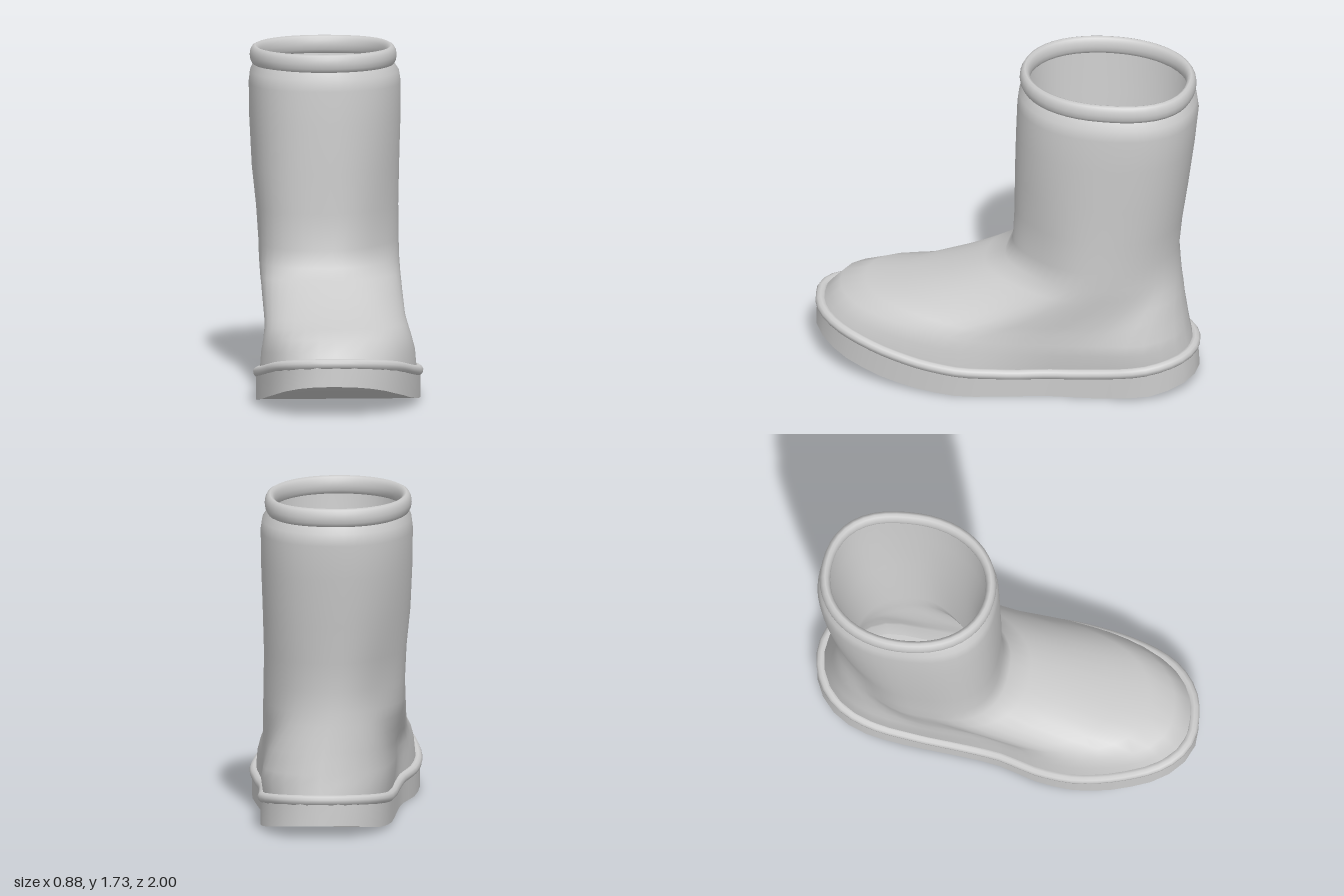
import * as THREE from 'three';
import { mergeVertices } from 'three/addons/utils/BufferGeometryUtils.js';

const N = 48; // points round every ring, starting at the toe and running towards +x
const { lerp, clamp } = THREE.MathUtils;
const V = (x, y, z) => new THREE.Vector3(x, y, z);
const angle = i => (i / N) * Math.PI * 2;

// Sole outline as [x, z]
const outlineCurve = new THREE.CatmullRomCurve3([
  [-0.05, 0.998], [0.1, 0.965], [0.25, 0.845], [0.37, 0.6], [0.437, 0.23], [0.413, 0],
  [0.375, -0.25], [0.367, -0.5], [0.352, -0.78], [0.225, -0.953], [0.07, -1],
  [-0.1, -0.965], [-0.225, -0.86], [-0.295, -0.7], [-0.325, -0.45], [-0.34, -0.2], [-0.36, 0],
  [-0.42, 0.22], [-0.44, 0.42], [-0.405, 0.66], [-0.325, 0.868], [-0.195, 0.982],
].map(([x, z]) => V(x, 0, z)), true);
const outline = outlineCurve.getSpacedPoints(N).slice(0, N);

// Height along the foot, read from [z, y] pairs running from heel to toe
function heightAt(table, z) {
  for (let i = 1; i < table.length; i++) {
    const [z0, y0] = table[i - 1], [z1, y1] = table[i];
    if (z <= z1) return lerp(y0, y1, Math.max(0, (z - z0) / (z1 - z0)));
  }
  return table[table.length - 1][1];
}
const bottomY = z => heightAt([[-1, 0.065], [-0.8, 0.025], [-0.5, 0], [0.2, 0], [0.4, 0.015],
  [0.6, 0.045], [0.8, 0.095], [1, 0.16]], z);
const weltY = z => heightAt([[-1, 0.195], [-0.8, 0.17], [-0.6, 0.145], [-0.4, 0.13], [-0.1, 0.122],
  [0.2, 0.135], [0.4, 0.155], [0.6, 0.19], [0.8, 0.235], [1, 0.275]], z);

const outlineRing = (sx, sz, y) => outline.map(p => V(p.x * sx, y(p.z), p.z * sz));

// Bulge of the leg section per quarter: front +x, back +x, back -x, front -x
const bulgeAt = (quarters, i) => quarters[Math.floor(4 * i / N)] * Math.sin(2 * angle(i)) ** 2;
const legRing = (cx, cz, rx, rz, y, quarters) => Array.from({ length: N }, (_, i) => {
  const a = angle(i), b = bulgeAt(quarters, i);
  const z = cz + (rz + b) * Math.cos(a);
  return V(cx + (rx + b) * Math.sin(a), y + 0.02 * (z + 0.5), z);
});
const ankle = [-0.033, 0.002, -0.042, 0.058];

// Foot rings morph from the sole outline to the ankle; d insets them for the lining
// [front z, front y, back z, back y, outline width scale, blend to ankle]
const footRings = d => [
  [0.93, 0.32, -0.95, 0.27, 0.91, 0],
  [0.87, 0.383, -0.94, 0.32, 0.885, 0.08],
  [0.74, 0.421, -0.93, 0.38, 0.86, 0.2],
  [0.56, 0.438, -0.92, 0.43, 0.85, 0.32],
  [0.3, 0.52, -0.91, 0.5, 0.86, 0.55],
  [0.12, 0.587, -0.9, 0.56, 0.88, 0.78],
  [0.015, 0.635, -0.893, 0.63, 0.92, 0.93],
  [-0.025, 0.72, -0.885, 0.74, 0.92, 1],
].map(([fz, fy, bz, by, scale, w]) => outline.map((p, i) => {
  const a = angle(i), b = bulgeAt(ankle, i);
  const t = (lerp(p.z, (1 + 2 * b) * Math.cos(a), w) + 1) / 2;
  const s = lerp(scale, 0.97, clamp((0.1 - p.z) / 0.4, 0, 1)); // fuller heel
  const x = lerp(p.x * s, -0.012 + (0.36 + b) * Math.sin(a), w);
  const drop = 0.06 * (1 - w) * Math.sin(a) ** 2;
  return V(x * (1 - d / 0.38) - 0.2 * d, lerp(by, fy - 0.7 * d, t) - drop,
    lerp(bz + d, fz - 1.4 * d, t));
}));

function build(points, index) {
  const g = new THREE.BufferGeometry().setFromPoints(points);
  g.setIndex(index);
  const merged = mergeVertices(g, 1e-5);
  merged.computeVertexNormals();
  return merged;
}

// Skin over a stack of closed rings
function loft(rings) {
  const index = [];
  for (let j = 0; j < rings.length - 1; j++) {
    for (let i = 0; i < N; i++) {
      const k = (i + 1) % N, a = j * N + i, b = j * N + k;
      index.push(a, b, b + N, a, b + N, a + N);
    }
  }
  return build(rings.flat(), index);
}

// Cross strips closing one ring
function cap(ring, up) {
  const index = [];
  for (let i = 0; i < N / 2; i++) {
    const a = i, b = i + 1, c = N - i - 1, d = (N - i) % N;
    if (up) index.push(a, b, c, a, c, d);
    else index.push(a, c, b, a, d, c);
  }
  return build(ring, index);
}

export function createModel() {
  const group = new THREE.Group();
  group.name = 'boot';
  const solid = new THREE.MeshStandardMaterial({ color: 0xcccccc });
  const thin = new THREE.MeshStandardMaterial({ color: 0xcccccc, side: THREE.DoubleSide });
  const add = (name, geometry, material = solid) => {
    const mesh = new THREE.Mesh(geometry, material);
    mesh.name = name;
    group.add(mesh);
  };

  // Sole: side wall, underside and footbed
  const low = outlineRing(0.975, 0.998, bottomY), high = outlineRing(0.975, 0.99, weltY);
  add('soleWall', loft([low, high]));
  add('soleUnderside', cap(low, false));
  add('footbed', cap(high, true));

  // Welt bead around the top of the sole
  const weltPath = new THREE.CatmullRomCurve3(outlineRing(0.945, 0.974, weltY), true);
  add('welt', new THREE.TubeGeometry(weltPath, 72, 0.027, 10, true));

  // Outer skin of foot and shaft: [centre x, centre z, radius x, radius z, y, bulges]
  const shaft = [
    [-0.018, -0.467, 0.365, 0.433, 0.9, [-0.022, 0.012, -0.026, 0.048]],
    [-0.026, -0.482, 0.378, 0.447, 1.1, [-0.008, 0.02, -0.01, 0.04]],
    [-0.028, -0.502, 0.388, 0.46, 1.35, [0.005, 0.024, 0.005, 0.034]],
    [-0.028, -0.515, 0.39, 0.466, 1.53, [0.008, 0.024, 0.008, 0.032]],
    [-0.029, -0.515, 0.382, 0.458, 1.59, [0.006, 0.022, 0.006, 0.026]],
    [-0.035, -0.512, 0.355, 0.43, 1.64, [0, 0.02, 0, 0.012]],
  ].map(r => legRing(...r));
  add('upper', loft([outlineRing(0.93, 0.965, weltY), ...footRings(0), ...shaft]), thin);

  // Lining inside foot and shaft
  const innerShaft = [
    [-0.03, -0.495, 0.298, 0.345, 1.1, [-0.01, 0.01, -0.01, 0.03]],
    [-0.033, -0.508, 0.325, 0.395, 1.4, [0, 0.02, 0, 0.02]],
    [-0.036, -0.514, 0.345, 0.422, 1.66, [0, 0.02, 0, 0.01]],
  ].map(r => legRing(...r));
  add('lining', loft([outlineRing(0.6, 0.84, weltY), ...footRings(0.1), ...innerShaft]), thin);

  // Rolled cuff with an oval section
  const cuff = [];
  for (let j = 0; j <= 12; j++) {
    const b = (j / 12) * Math.PI * 2, r = 0.027 * Math.cos(b);
    cuff.push(legRing(-0.036, -0.514, 0.35 + r, 0.428 + r, 1.67 + 0.049 * Math.sin(b),
      [0.004, 0.026, 0.004, 0.01]));
  }
  add('cuff', loft(cuff));

  return group;
}
